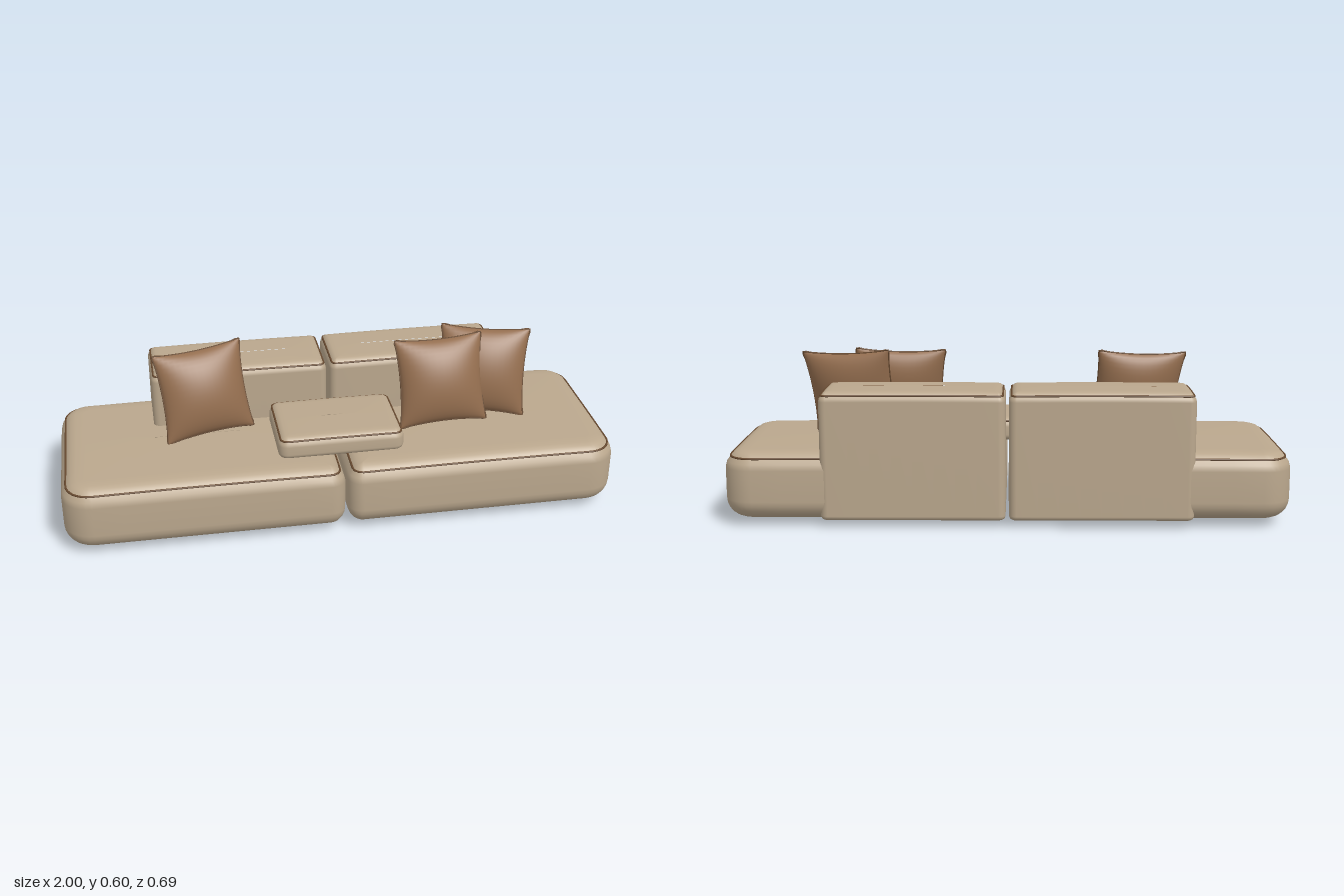
import * as THREE from 'three';

const mat = (name, color, side = THREE.FrontSide) => {
  const m = new THREE.MeshStandardMaterial({ color, side });
  m.name = name;
  return m;
};

// Rounded rectangle seen from above, inset by d; corner order: back +x, back -x, front -x, front +x
function outline(box, d) {
  const { x0, x1, z0, z1, radii } = box;
  const hx = (x1 - x0) / 2 - d, hz = (z1 - z0) / 2 - d;
  const cx = (x0 + x1) / 2, cz = (z0 + z1) / 2;
  const corners = radii.map((radius, k) => {
    const r = Math.max(radius - d, 0.001);
    const sx = k === 0 || k === 3 ? 1 : -1, sz = k < 2 ? -1 : 1;
    return Array.from({ length: 9 }, (_, i) => {
      const a = (k + i / 8) * Math.PI / 2;
      return [cx + sx * Math.max(hx - r, 0) + r * Math.cos(a),
        cz + sz * Math.max(hz - r, 0) - r * Math.sin(a)];
    });
  });
  const pts = [];
  corners.forEach((c, k) => {
    pts.push(...c);
    const a = c[8], b = corners[(k + 1) % 4][0];
    for (let i = 1; i < 8; i++) pts.push([a[0] + (b[0] - a[0]) * i / 8, a[1] + (b[1] - a[1]) * i / 8]);
  });
  return pts;
}

// The upholstery sinks a little towards the corners
function sag(box, x, z, y) {
  const u = (2 * x - box.x0 - box.x1) / (box.x1 - box.x0);
  const v = (2 * z - box.z0 - box.z1) / (box.z1 - box.z0);
  const t = Math.max(0, (y - box.bottom) / (box.pipe - box.bottom));
  return y - box.sag * t * t * (u * u + v * v) / 2;
}

// Upholstered block: rounded underside, straight walls, softly domed top and piping
function cushion(name, box, fabric, trim) {
  const { bottom: b, round: R, pipe, top, soft } = box;
  const mid = Math.min(box.x1 - box.x0, box.z1 - box.z0) / 2;
  const profile = [[mid, b], [R * 1.3, b]];
  for (let i = 0; i <= 6; i++) {
    const a = i / 6 * Math.PI / 2;
    profile.push([R * (1 - Math.sin(a)), b + R * (1 - Math.cos(a))]);
  }
  const rise = top - pipe;
  profile.push([0, pipe - soft * 2], [soft * 0.3, pipe - soft * 0.9], [soft, pipe],
    [soft * 1.25, pipe + rise * 0.3], [soft * 1.9, pipe + rise * 0.68],
    [soft * 2.8, pipe + rise * 0.88], [soft * 4.5, pipe + rise * 0.96], [mid, top]);

  const pos = [], index = [];
  let n = 0;
  profile.forEach(([d, y]) => {
    const ring = outline(box, d);
    n = ring.length;
    ring.forEach(([x, z]) => pos.push(x, sag(box, x, z, y), z));
  });
  for (let j = 0; j < profile.length - 1; j++) {
    for (let i = 0; i < n; i++) {
      const a = j * n + i, c = j * n + (i + 1) % n;
      index.push(a, c, a + n, c, c + n, a + n);
    }
  }
  const geo = new THREE.BufferGeometry();
  geo.setAttribute('position', new THREE.Float32BufferAttribute(pos, 3));
  geo.setIndex(index);
  geo.computeVertexNormals();
  const body = new THREE.Mesh(geo, fabric);
  body.name = name + 'Body';

  const path = outline(box, soft * 0.95).map(([x, z]) => new THREE.Vector3(x, sag(box, x, z, pipe + 0.001), z));
  const piping = new THREE.Mesh(
    new THREE.TubeGeometry(new THREE.CatmullRomCurve3(path, true), 180, 0.004, 6, true), trim);
  piping.name = name + 'Piping';

  const g = new THREE.Group();
  g.name = name;
  g.add(body, piping);
  return g;
}

// Square scatter pillow with pinched edges and a seam
function pillow(name, fabric, trim) {
  const H = 0.163, T = 0.066;
  const edge = (u, v) => [u * H * (1 - 0.07 * (1 - v * v)), v * H * (1 - 0.07 * (1 - u * u))];
  const geo = new THREE.PlaneGeometry(2, 2, 20, 20);
  const p = geo.attributes.position;
  for (let i = 0; i < p.count; i++) {
    // Crowd the grid towards the edges, where the curve is steepest
    const u = Math.sin(p.getX(i) * Math.PI / 2), v = Math.sin(p.getY(i) * Math.PI / 2);
    const [x, y] = edge(u, v);
    p.setXYZ(i, x, y, T * Math.pow(Math.max(0, (1 - u * u) * (1 - v * v)), 0.55));
  }
  geo.computeVertexNormals();
  const g = new THREE.Group();
  g.name = name;
  ['Front', 'Back'].forEach((s, i) => {
    const half = new THREE.Mesh(geo, fabric);
    half.name = name + s;
    half.rotation.y = i * Math.PI;
    g.add(half);
  });
  const path = [];
  [[-1, -1, 1, 0], [1, -1, 0, 1], [1, 1, -1, 0], [-1, 1, 0, -1]].forEach(([u, v, du, dv]) => {
    for (let i = 0; i < 10; i++) path.push(new THREE.Vector3(...edge(u + du * i / 5, v + dv * i / 5), 0));
  });
  const seam = new THREE.Mesh(
    new THREE.TubeGeometry(new THREE.CatmullRomCurve3(path, true), 120, 0.003, 6, true), trim);
  seam.name = name + 'Seam';
  g.add(seam);
  return g;
}

export function createModel() {
  const fabric = mat('beigeFabric', 0xbaa78d);
  const brown = mat('brownFabric', 0x946e4f, THREE.DoubleSide);
  const trim = mat('brownPiping', 0x694b31);
  const black = mat('blackLegs', 0x242424);
  const model = new THREE.Group();
  model.name = 'sofa';

  for (const s of [1, -1]) {
    const side = s > 0 ? 'left' : 'right';
    const span = (a, b) => (s > 0 ? { x0: a, x1: b } : { x0: -b, x1: -a });
    const radii = (outer, inner) => (s > 0 ? [outer, inner, inner, outer] : [inner, outer, outer, inner]);

    // Seat base
    model.add(cushion(side + 'Seat', {
      ...span(0.004, 1), z0: -0.341, z1: 0.343, radii: radii(0.105, 0.055),
      bottom: 0.025, round: 0.068, pipe: 0.247, top: 0.272, soft: 0.02, sag: 0.006,
    }, fabric, trim));

    // Backrest
    model.add(cushion(side + 'Backrest', {
      ...span(0.006, 0.655), z0: -0.343, z1: -0.082, radii: radii(0.026, 0.026),
      bottom: 0.027, round: 0.016, pipe: 0.471, top: 0.486, soft: 0.01, sag: 0.004,
    }, fabric, trim));

    // Legs
    for (const x of [0.2, 0.79]) {
      for (const z of [0.145, -0.156]) {
        const leg = new THREE.Mesh(new THREE.BoxGeometry(0.037, 0.03, 0.037), black);
        leg.name = side + 'Leg';
        leg.position.set(s * x, 0.015, z);
        model.add(leg);
      }
    }
  }

  // Loose armrest across the middle
  model.add(cushion('centreArmrest', {
    x0: -0.23, x1: 0.226, z0: -0.079, z1: 0.23, radii: [0.035, 0.035, 0.035, 0.035],
    bottom: 0.262, round: 0.02, pipe: 0.333, top: 0.347, soft: 0.01, sag: 0.003,
  }, fabric, trim));

  // Scatter pillows: name, position, turn, roll
  [
    ['rightPillow', -0.47, -0.022, 0.2, 0.05],
    ['leftFrontPillow', 0.398, 0.038, 0.03, 0.025],
    ['leftRearPillow', 0.572, -0.018, -0.2, -0.05],
  ].forEach(([name, x, z, turn, roll]) => {
    const p = pillow(name, brown, trim);
    p.position.set(x, 0.433, z);
    p.rotation.set(-0.3, turn, roll, 'YXZ');
    model.add(p);
  });

  return model;
}
